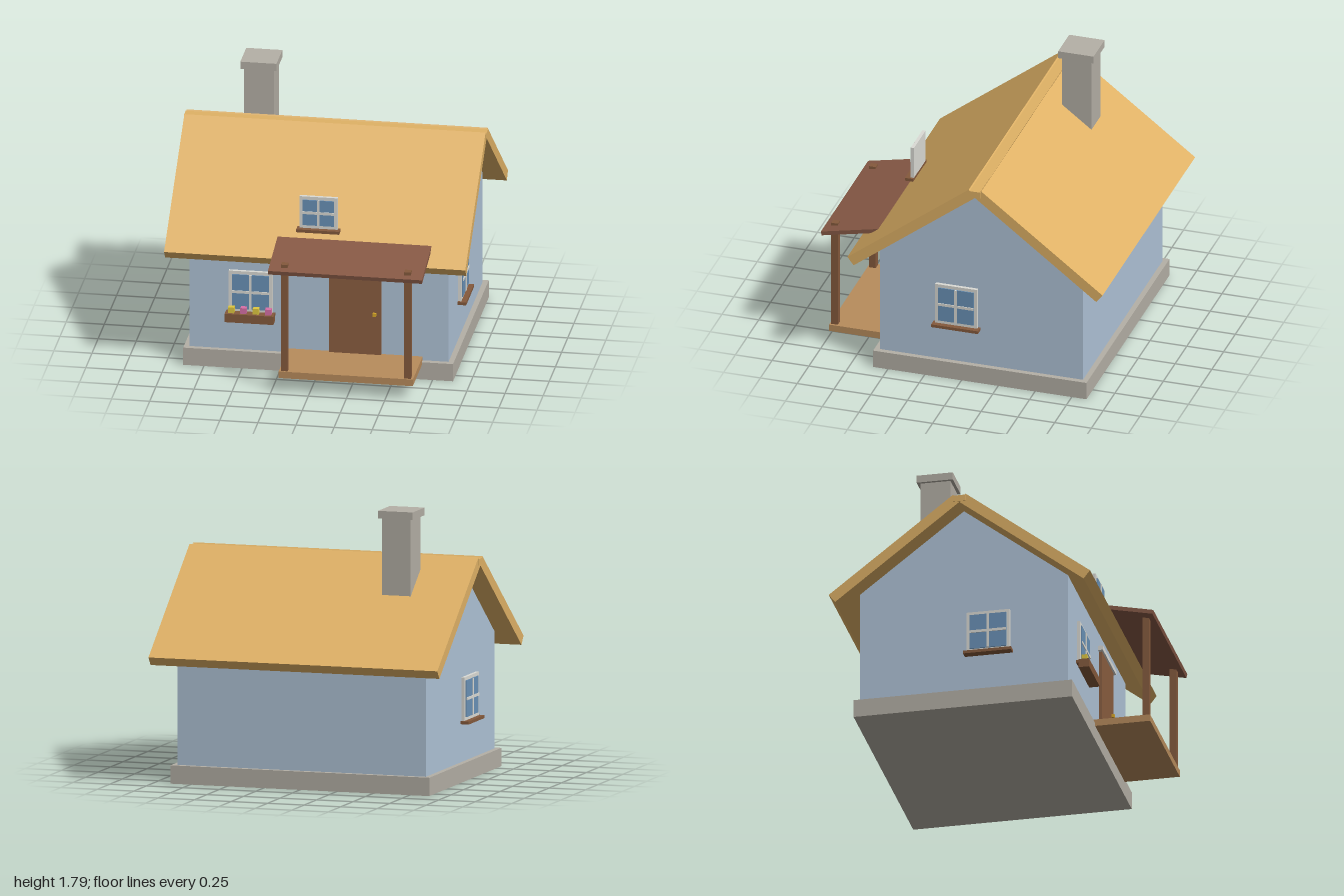
import * as THREE from 'three';

const mat = (color) => new THREE.MeshStandardMaterial({ color });
const M = {
  wall: mat(0xb0c4d8), straw: mat(0xe0b266), stone: mat(0xb5b0a6), wood: mat(0x855a3c),
  door: mat(0x8b5e40), deck: mat(0xb88c5c), porch: mat(0x885a46), glass: mat(0x6a92b8),
  trim: mat(0xdcdcd6), brass: mat(0xd8a828), yellow: mat(0xe0c840), pink: mat(0xd870a8),
};

// Box given by its minimum and maximum corners
function box(parent, name, material, [x0, y0, z0], [x1, y1, z1]) {
  const mesh = new THREE.Mesh(new THREE.BoxGeometry(x1 - x0, y1 - y0, z1 - z0), material);
  mesh.position.set((x0 + x1) / 2, (y0 + y1) / 2, (z0 + z1) / 2);
  mesh.name = name;
  parent.add(mesh);
  return mesh;
}

// Prism with a [z, y] profile running from x0 to x1
function prism(parent, name, material, points, x0, x1) {
  const shape = new THREE.Shape(points.map(([z, y]) => new THREE.Vector2(z, y)));
  const geo = new THREE.ExtrudeGeometry(shape, { depth: x1 - x0, bevelEnabled: false });
  geo.rotateY(-Math.PI / 2).translate(x1, 0, 0);
  const mesh = new THREE.Mesh(geo, material);
  mesh.name = name;
  parent.add(mesh);
  return mesh;
}

// Window facing +z, standing on its sill at the local origin
function makeWindow(name, w, h, margin) {
  const g = new THREE.Group();
  g.name = name;
  const a = w / 2, b = a - margin;
  box(g, 'windowFrame', M.trim, [-a, 0, 0], [a, h, 0.022]);
  box(g, 'windowGlass', M.glass, [-b, margin, 0.01], [b, h - margin, 0.029]);
  box(g, 'verticalBar', M.trim, [-0.009, margin, 0.01], [0.009, h - margin, 0.035]);
  box(g, 'horizontalBar', M.trim, [-b, h / 2 - 0.009, 0.01], [b, h / 2 + 0.009, 0.034]);
  box(g, 'windowSill', M.wood, [-a - 0.016, -0.02, 0], [a + 0.016, 0, 0.056]);
  return g;
}

export function createModel() {
  const house = new THREE.Group();
  house.name = 'cottage';
  const ridgeZ = -0.125;
  const wallFront = 0.565;

  // Foundation and gabled walls
  box(house, 'foundation', M.stone, [-0.885, 0, -0.85], [0.885, 0.12, 0.6]);
  prism(house, 'walls', M.wall,
    [[-0.815, 0.12], [wallFront, 0.12], [wallFront, 0.885], [ridgeZ, 1.412], [-0.815, 0.885]],
    -0.85, 0.85);

  // Two roof slabs mirrored about the ridge, with a ridge beam in the gap
  const slab = [[0.7, 0.785], [0.742, 0.84], [-0.083, 1.471], [ridgeZ, 1.416]];
  prism(house, 'frontRoof', M.straw, slab, -0.988, 0.988);
  prism(house, 'backRoof', M.straw, slab.map(([z, y]) => [2 * ridgeZ - z, y]), -0.988, 0.988);
  box(house, 'ridgeBeam', M.straw, [-0.992, 1.42, ridgeZ - 0.04], [0.992, 1.463, ridgeZ + 0.04]);

  // Chimney
  box(house, 'chimney', M.stone, [-0.627, 1.15, -0.465], [-0.43, 1.745, -0.265]);
  box(house, 'chimneyCap', M.stone, [-0.647, 1.745, -0.485], [-0.41, 1.795, -0.245]);

  // Windows
  const front = makeWindow('frontWindow', 0.286, 0.284, 0.022);
  front.position.set(-0.446, 0.39, wallFront);
  const attic = makeWindow('atticWindow', 0.25, 0.22, 0.022);
  attic.position.set(0, 1.005, wallFront);
  house.add(front, attic);
  for (const side of [-1, 1]) {
    const win = makeWindow(side > 0 ? 'leftWindow' : 'rightWindow', 0.286, 0.284, 0.022);
    win.position.set(side * 0.85, 0.39, 0.04);
    win.rotation.y = side * Math.PI / 2;
    house.add(win);
  }

  // Flower box with blossoms
  box(house, 'flowerBox', M.wood, [-0.606, 0.337, 0.58], [-0.286, 0.395, 0.65]);
  for (let i = 0; i < 4; i++) {
    const x = -0.567 + i * 0.081;
    box(house, 'flower', i % 2 ? M.pink : M.yellow, [x - 0.02, 0.39, 0.595], [x + 0.02, 0.434, 0.632]);
  }

  // Door
  box(house, 'door', M.door, [0.07, 0.145, 0.55], [0.41, 0.755, 0.585]);
  box(house, 'doorLintel', M.trim, [0.04, 0.755, 0.55], [0.44, 0.785, 0.597]);
  box(house, 'doorKnob', M.brass, [0.357, 0.418, 0.58], [0.379, 0.44, 0.602]);

  // Porch: deck, two posts whose tops show through, and a lean-to roof
  box(house, 'porchDeck', M.deck, [-0.2, 0.1, 0.56], [0.68, 0.146, 0.965]);
  for (const x of [-0.165, 0.643]) {
    box(house, 'porchPost', M.wood, [x - 0.022, 0.146, 0.91], [x + 0.022, 0.89, 0.955]);
  }
  prism(house, 'porchRoof', M.porch,
    [[0.994, 0.832], [1.0, 0.859], [0.575, 0.949], [0.569, 0.922]], -0.265, 0.745);

  return house;
}
